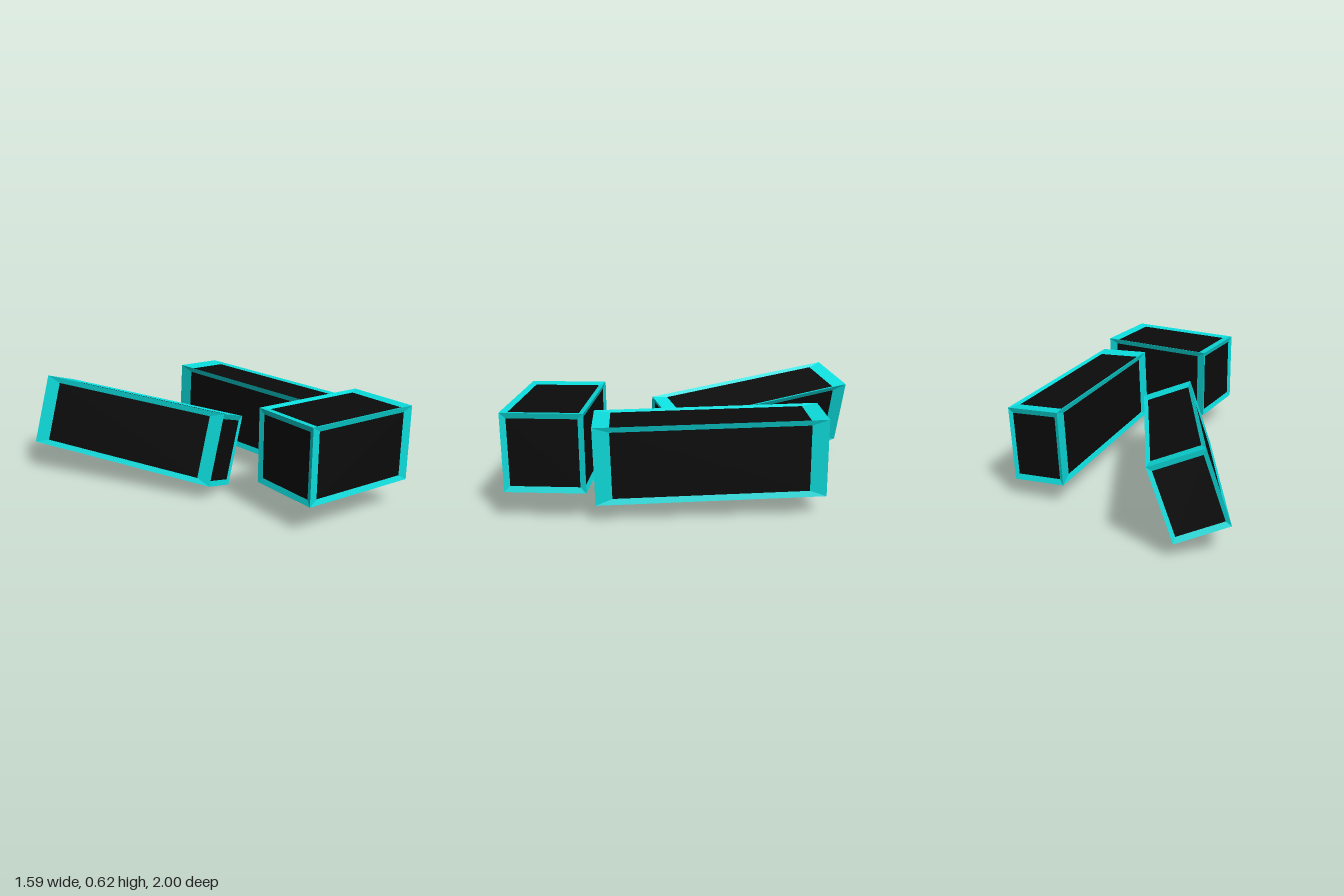
import * as THREE from 'three';

const INSET = 0.855; // panel size relative to its face
const DEPTH = 0.01; // how far each panel is sunk

const frameMaterial = new THREE.MeshStandardMaterial({ color: 0x0cdcdc });
frameMaterial.name = 'cyan frame';
const panelMaterial = new THREE.MeshStandardMaterial({ color: 0x0b0b0b });
panelMaterial.name = 'black panel';

function meshFrom(points, material, name) {
  const geometry = new THREE.BufferGeometry().setFromPoints(points);
  geometry.computeVertexNormals();
  const mesh = new THREE.Mesh(geometry, material);
  mesh.name = name;
  return mesh;
}

// A box whose six faces each have a bevelled border and a sunken panel
function createBlock(name, width, height, length) {
  const half = new THREE.Vector3(width / 2, height / 2, length / 2);
  const frame = [], panels = [];
  const quad = (list, a, b, c, d) => list.push(a, b, c, a, c, d);

  for (let axis = 0; axis < 3; axis++) {
    for (const sign of [1, -1]) {
      const corner = (u, v, scale, sink) => {
        const p = new THREE.Vector3();
        p.setComponent(axis, sign * (half.getComponent(axis) - sink));
        p.setComponent((axis + 1) % 3, sign * u * scale * half.getComponent((axis + 1) % 3));
        p.setComponent((axis + 2) % 3, v * scale * half.getComponent((axis + 2) % 3));
        return p;
      };
      const loop = [[-1, -1], [1, -1], [1, 1], [-1, 1]];
      const outer = loop.map(([u, v]) => corner(u, v, 1, 0));
      const inner = loop.map(([u, v]) => corner(u, v, INSET, DEPTH));
      for (let i = 0; i < 4; i++) {
        const j = (i + 1) % 4;
        quad(frame, outer[i], outer[j], inner[j], inner[i]);
      }
      quad(panels, ...inner);
    }
  }

  const block = new THREE.Group();
  block.name = name;
  block.add(meshFrom(frame, frameMaterial, name + 'Frame'));
  block.add(meshFrom(panels, panelMaterial, name + 'Panels'));
  return block;
}

// Place a block by its centre and the directions of its width and length
function place(block, centre, widthDir, lengthDir) {
  const z = new THREE.Vector3(...lengthDir).normalize();
  const y = z.clone().cross(new THREE.Vector3(...widthDir)).normalize();
  const x = y.clone().cross(z);
  block.quaternion.setFromRotationMatrix(new THREE.Matrix4().makeBasis(x, y, z));
  block.position.set(...centre);
  return block;
}

export function createModel() {
  const model = new THREE.Group();
  model.name = 'framedBlocks';
  model.add(
    // Short upright block at the front
    place(createBlock('frontBlock', 0.75, 0.452, 0.455), [0.397, 0.401, 0.772], [1, 0, 0], [0, 0, 1]),
    // Long block on the left, slightly turned
    place(createBlock('leftBlock', 0.317, 0.45, 1.285), [0.549, 0.347, -0.12], [0.992, -0.039, -0.125], [0.125, -0.015, 0.992]),
    // Long block on the right, turned and tipped
    place(createBlock('rightBlock', 0.316, 0.447, 1.279), [-0.278, 0.3145, -0.352], [0.255, -0.095, -0.157], [0.642, -0.1, 1.1]),
  );
  return model;
}
